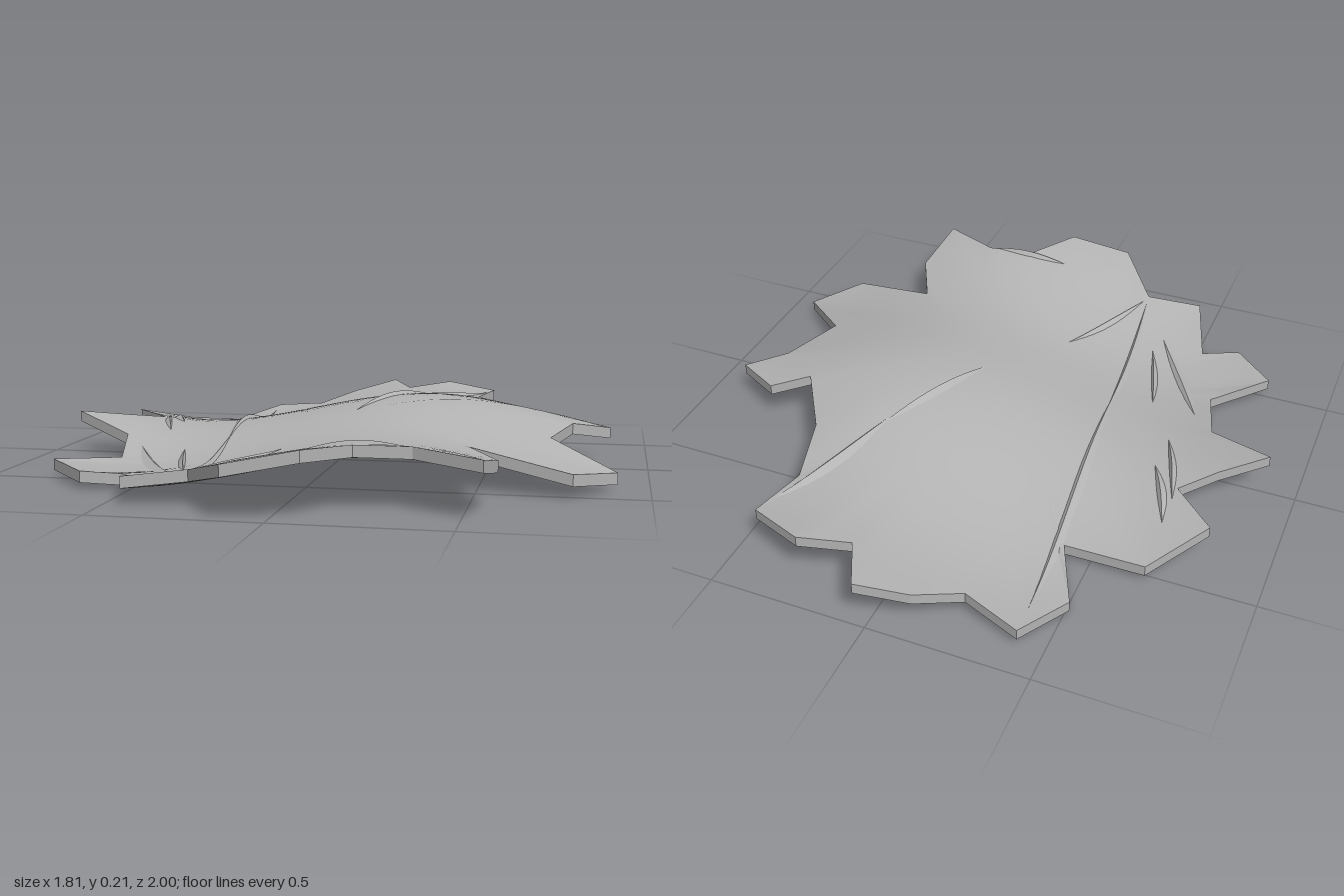
import * as THREE from 'three';

// Jagged outline of the slab, as x, z corners
const OUTLINE = [
  [0.03, -1], [0.11, -0.84], [0.26, -0.9], [0.44, -0.82], [0.4, -0.63], [0.46, -0.41],
  [0.6, -0.19], [0.72, -0.25], [0.88, -0.15], [0.76, -0.06], [0.7, 0.17], [0.905, 0.37],
  [0.78, 0.53], [0.48, 0.47], [0.58, 0.67], [0.56, 0.89], [0.36, 0.79], [0.2, 0.81],
  [0.09, 0.97], [-0.12, 1], [-0.265, 0.81], [-0.45, 0.85], [-0.53, 0.61], [-0.65, 0.65],
  [-0.79, 0.51], [-0.63, 0.35], [-0.69, 0.13], [-0.905, 0.005], [-0.77, -0.1], [-0.67, -0.2],
  [-0.81, -0.34], [-0.67, -0.52], [-0.42, -0.52], [-0.51, -0.72], [-0.42, -0.9],
  [-0.24, -0.84], [-0.12, -0.94],
];
// Sharp folds on the upper face: start x, z, end x, z, half width
const CREASES = [
  [-0.265, 0.8, -0.34, 0.1, 0.012], [-0.33, 0.2, -0.42, -0.87, 0.016],
  [0.07, 0.08, 0.26, -0.36, 0.014], [0.24, -0.3, 0.43, -0.78, 0.018],
  [-0.26, 0.79, -0.09, 0.41, 0.009], [-0.37, 0.64, -0.62, 0.2, 0.018],
  [-0.36, 0.56, -0.46, 0.23, 0.01], [-0.57, -0.11, -0.67, -0.36, 0.013],
  [-0.57, 0.04, -0.67, -0.26, 0.01], [0.06, 0.805, 0.34, 0.795, 0.007],
];
const CENTRE = [0, 0.15];
const HALF = 0.0175, RINGS = 18, STEPS = 4;

const wave = (x, z) =>
  0.107 + 0.057 * Math.sin(3.88 * (x + 0.125)) + 0.03 * Math.cos(5.46 * (z + 0.1));

function makeGeometry(positions, index) {
  const g = new THREE.BufferGeometry();
  g.setAttribute('position', new THREE.Float32BufferAttribute(positions, 3));
  g.setIndex(index);
  g.computeVertexNormals();
  return g;
}

// Rim samples; height runs straight between corners
function rimPoints() {
  const rim = [];
  OUTLINE.forEach(([ax, az], i) => {
    const [bx, bz] = OUTLINE[(i + 1) % OUTLINE.length];
    for (let k = 0; k < STEPS; k++) {
      const t = k / STEPS, x = ax + (bx - ax) * t, z = az + (bz - az) * t;
      rim.push({ x, z, y: wave(ax, az) * (1 - t) + wave(bx, bz) * t });
    }
  });
  return rim;
}

// Rippled face made of rings growing from the centre to the rim
function faceGeometry(rim, sign) {
  const pos = [], idx = [], n = rim.length;
  for (let r = 0; r <= RINGS; r++) {
    const t = r / RINGS;
    for (const p of rim) {
      const x = CENTRE[0] + (p.x - CENTRE[0]) * t, z = CENTRE[1] + (p.z - CENTRE[1]) * t;
      pos.push(x, wave(x, z) + (p.y - wave(p.x, p.z)) * t ** 5 + sign * HALF, z);
    }
  }
  const tri = (a, b, c) => (sign > 0 ? idx.push(a, b, c) : idx.push(a, c, b));
  for (let r = 0; r < RINGS; r++) {
    for (let i = 0; i < n; i++) {
      const j = (i + 1) % n, a = r * n + i, b = r * n + j;
      tri(a, b + n, a + n);
      if (r > 0) tri(a, b, b + n);
    }
  }
  return makeGeometry(pos, idx);
}

// Flat upright faces around the rim
function edgeGeometry(rim) {
  const pos = [], idx = [];
  rim.forEach((p, i) => {
    const q = rim[(i + 1) % rim.length], o = i * 4;
    pos.push(p.x, p.y + HALF, p.z, q.x, q.y + HALF, q.z, q.x, q.y - HALF, q.z, p.x, p.y - HALF, p.z);
    idx.push(o, o + 1, o + 2, o, o + 2, o + 3);
  });
  return makeGeometry(pos, idx);
}

// Tapered fold with a gentle left side and a steep right side
function creaseGeometry([x0, z0, x1, z1, w]) {
  const pos = [], idx = [], n = 16;
  const len = Math.hypot(x1 - x0, z1 - z0), rx = -(z1 - z0) / len, rz = (x1 - x0) / len;
  for (let i = 0; i <= n; i++) {
    const t = i / n, taper = Math.sin(Math.PI * t);
    for (const [side, lift] of [[-2, 0], [-0.4, 0.014], [0.4, 0]]) {
      const x = x0 + (x1 - x0) * t + rx * side * w * taper;
      const z = z0 + (z1 - z0) * t + rz * side * w * taper;
      pos.push(x, wave(x, z) + HALF - 0.001 + lift * taper, z);
    }
    if (i < n) {
      for (const a of [i * 3, i * 3 + 1]) idx.push(a, a + 1, a + 3, a + 1, a + 4, a + 3);
    }
  }
  const g = makeGeometry(pos, idx).toNonIndexed();
  g.computeVertexNormals();
  return g;
}

export function createModel() {
  const model = new THREE.Group();
  model.name = 'rippledLeafSlab';
  const grey = new THREE.MeshStandardMaterial({ color: 0xb4b4b4 });
  grey.name = 'grey';
  const add = (name, geometry) => {
    const mesh = new THREE.Mesh(geometry, grey);
    mesh.name = name;
    model.add(mesh);
    return mesh;
  };

  const rim = rimPoints();
  add('upperFace', faceGeometry(rim, 1));
  const lower = add('lowerFace', faceGeometry(rim, -1));
  add('edge', edgeGeometry(rim));
  CREASES.forEach((c, i) => add(`crease${i + 1}`, creaseGeometry(c)));

  // Rest the lowest point on the ground
  lower.geometry.computeBoundingBox();
  const drop = lower.geometry.boundingBox.min.y;
  model.children.forEach((m) => m.geometry.translate(0, -drop, 0));
  return model;
}
